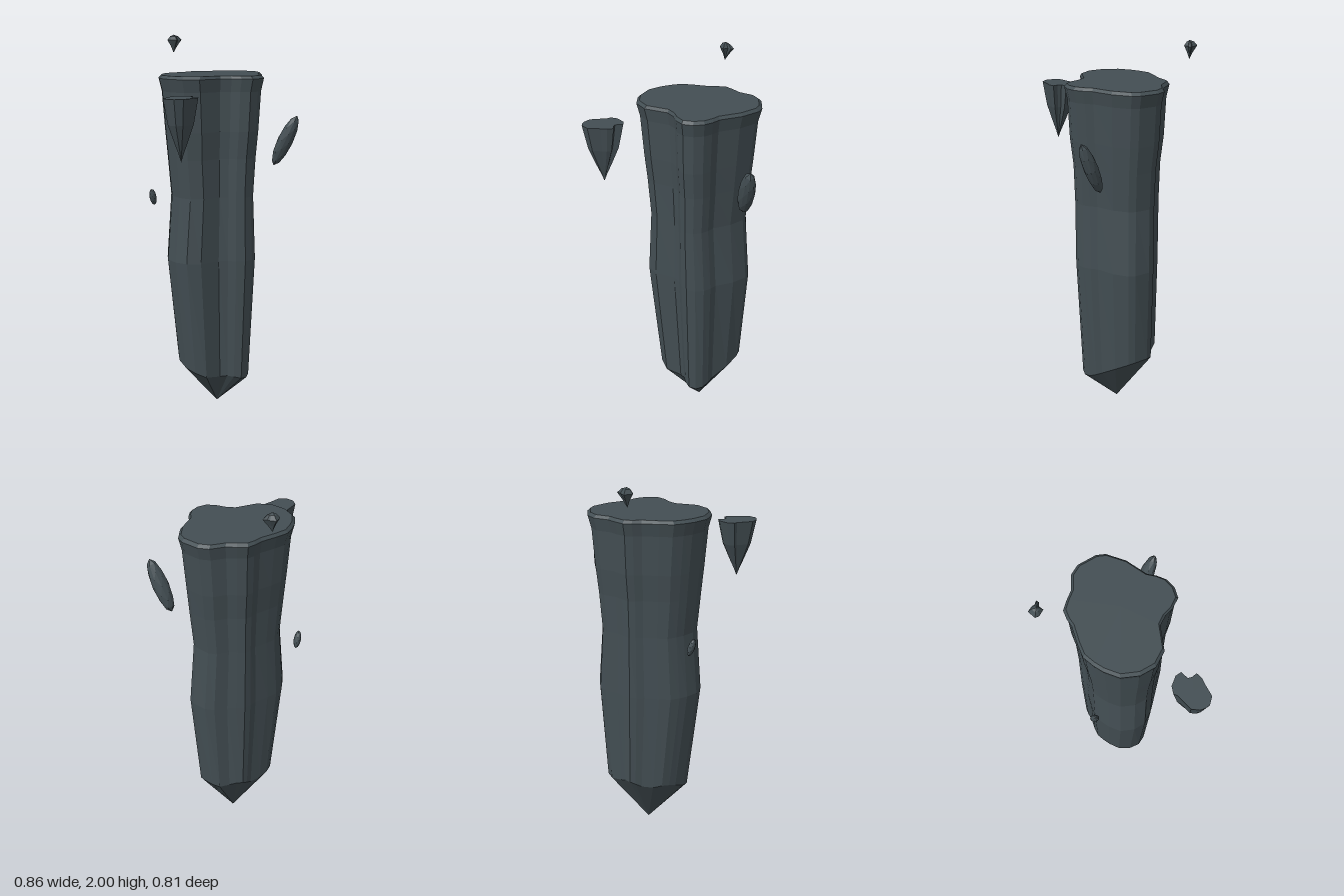
import * as THREE from 'three';

const stone = new THREE.MeshStandardMaterial({ color: 0x434e53, flatShading: true });
stone.name = 'darkSlate';

// Closed loft: outline [x, z] scaled about a centre at each level, closed by an apex above and below.
// Each level is { y, sx, sz, dz }, listed from top to bottom; y may be a function of x, z.
function loft(name, outline, [cx, cz], levels, top, tip) {
  const pts = [...outline].reverse();
  const n = pts.length;
  const pos = [...top];
  for (const { y, sx, sz = sx, dx = 0, dz = 0 } of levels) {
    for (const [px, pz] of pts) {
      const x = cx + (px - cx) * sx + dx;
      const z = cz + (pz - cz) * sz + dz;
      pos.push(x, typeof y === 'function' ? y(x, z) : y, z);
    }
  }
  pos.push(...tip);
  const last = levels.length * n + 1;
  const index = [];
  for (let i = 0; i < n; i++) {
    const j = (i + 1) % n;
    index.push(0, 1 + i, 1 + j);
    for (let k = 0; k < levels.length - 1; k++) {
      const a = 1 + k * n, b = a + n;
      index.push(a + i, b + i, b + j, a + i, b + j, a + j);
    }
    index.push(last - n + i, last, last - n + j);
  }
  const geo = new THREE.BufferGeometry();
  geo.setAttribute('position', new THREE.Float32BufferAttribute(pos, 3));
  geo.setIndex(index);
  geo.computeVertexNormals();
  const mesh = new THREE.Mesh(geo, stone);
  mesh.name = name;
  return mesh;
}

// Faceted oval pebble stretched between two end points
function pebble(name, from, to, rx, rz) {
  const a = new THREE.Vector3(...from), b = new THREE.Vector3(...to);
  const axis = b.clone().sub(a);
  const geo = new THREE.IcosahedronGeometry(1, 1);
  geo.scale(rx, axis.length() / 2, rz);
  const mesh = new THREE.Mesh(geo, stone);
  mesh.name = name;
  mesh.position.copy(a).add(b).multiplyScalar(0.5);
  mesh.quaternion.setFromUnitVectors(new THREE.Vector3(0, 1, 0), axis.normalize());
  return mesh;
}

export function createModel() {
  const model = new THREE.Group();
  model.name = 'floatingRockPillar';

  // Main pillar with a chamfered flat top and a pointed base
  const pillarOutline = [
    [-0.30, -0.01], [-0.27, -0.085], [-0.24, -0.13], [-0.20, -0.175], [-0.135, -0.20],
    [-0.05, -0.225], [-0.01, -0.25], [0.03, -0.265], [0.08, -0.25], [0.13, -0.23],
    [0.21, -0.23], [0.26, -0.20], [0.31, -0.115], [0.315, -0.07], [0.28, 0.025],
    [0.21, 0.12], [0.20, 0.165], [0.18, 0.21], [0.14, 0.245], [0.087, 0.26],
    [0.037, 0.235], [0, 0.20], [-0.05, 0.175], [-0.175, 0.19], [-0.25, 0.15], [-0.29, 0.08],
  ];
  // Wavy lower edge, higher at the back and at the sides
  const lowerEdge = (x, z) => 0.245 - 0.37 * z + 0.5 * x * x + 0.012 * Math.sin(x * 32);
  model.add(loft('pillar', pillarOutline, [0.01, 0], [
    { y: 1.81, sx: 0.95 },
    { y: 1.795, sx: 1 },
    { y: 1.73, sx: 0.945 },
    { y: 1.53, sx: 0.89, sz: 0.91 },
    { y: 1.39, sx: 0.85, sz: 0.85 },
    { y: 1.19, sx: 0.79, sz: 0.83 },
    { y: 0.85, sx: 0.88, sz: 0.83 },
    { y: lowerEdge, sx: 0.7, sz: 0.76, dx: 0.01, dz: -0.01 },
  ], [0.04, 1.81, 0], [0.025, 0, 0]));

  // Flat-topped floating shard
  const shardOutline = [
    [-0.425, 0.303], [-0.36, 0.245], [-0.353, 0.227], [-0.315, 0.22], [-0.266, 0.24],
    [-0.248, 0.266], [-0.278, 0.294], [-0.273, 0.314], [-0.255, 0.335], [-0.278, 0.358],
    [-0.307, 0.37], [-0.365, 0.40], [-0.408, 0.388], [-0.422, 0.367], [-0.43, 0.344],
  ];
  model.add(loft('floatingShard', shardOutline, [-0.34, 0.32], [
    { y: 1.725, sx: 1 },
    { y: 1.6, sx: 0.74 },
    { y: 1.51, sx: 0.37 },
    { y: 1.46, sx: 0.15 },
  ], [-0.34, 1.725, 0.32], [-0.34, 1.42, 0.32]));

  // Small domed chip above the back edge
  const chipOutline = [
    [-0.083, -0.374], [-0.053, -0.406], [-0.028, -0.39], [-0.02, -0.378], [0, -0.371],
    [-0.009, -0.358], [-0.028, -0.358], [-0.044, -0.339], [-0.073, -0.355],
  ];
  model.add(loft('floatingChip', chipOutline, [-0.048, -0.367], [
    { y: 1.992, sx: 0.55 },
    { y: 1.972, sx: 1 },
    { y: 1.94, sx: 0.45 },
  ], [-0.048, 2, -0.367], [-0.05, 1.905, -0.367]));

  // Floating pebbles on either side
  model.add(pebble('largePebble', [0.325, 1.32, 0.08], [0.41, 1.59, 0.17], 0.043, 0.036));
  model.add(pebble('smallPebble', [-0.274, 1.12, -0.15], [-0.298, 1.21, -0.13], 0.018, 0.022));

  return model;
}
